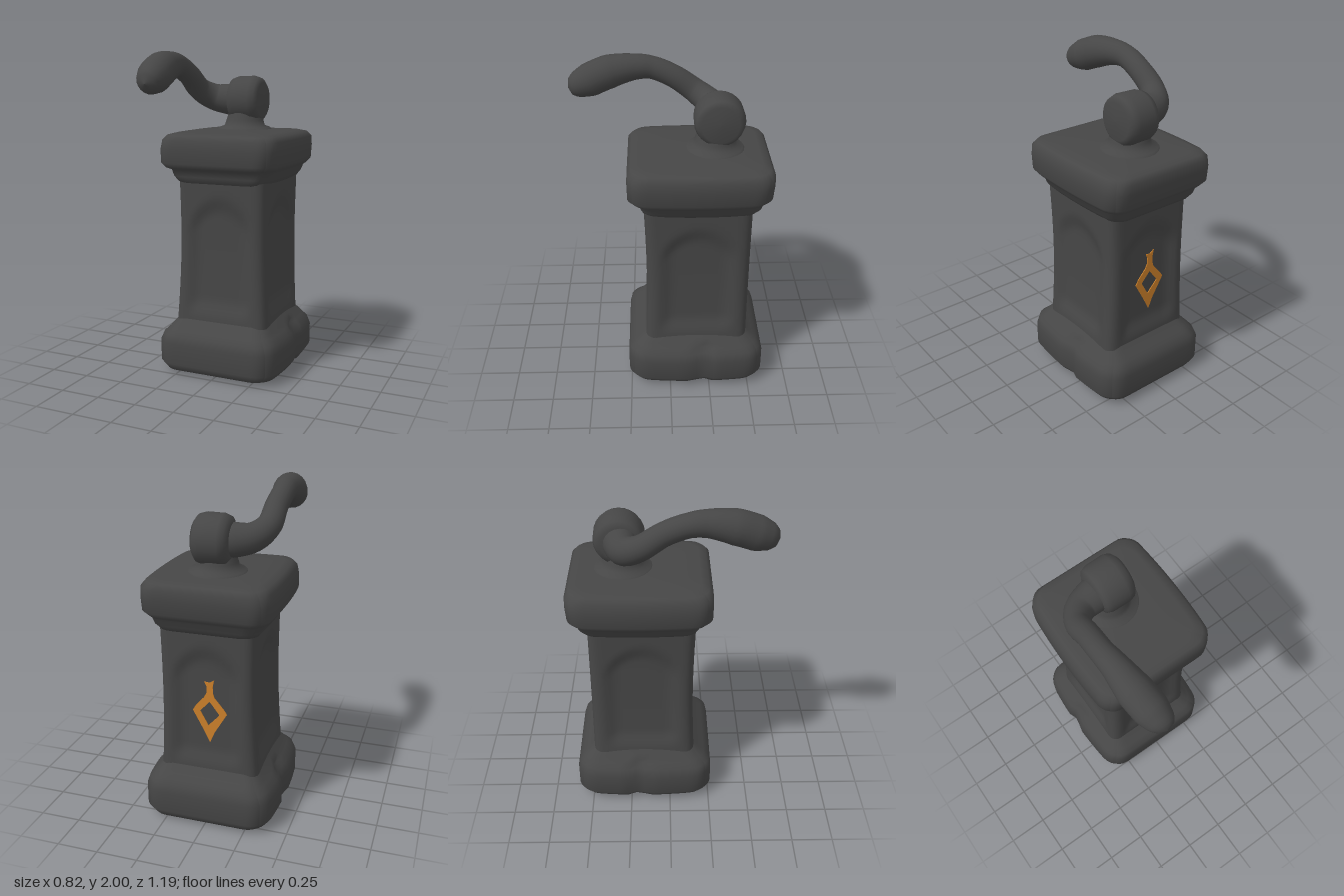
import * as THREE from 'three';
import { mergeVertices } from 'three/addons/utils/BufferGeometryUtils.js';

const smooth = THREE.MathUtils.smoothstep;

// Rounded-rectangle loft. Rows: [y, xMin, xMax, zMin, zMax, cornerRadius].
// taper narrows x towards both z ends; bump(side, s, point) pushes along the side's normal.
function loft(rows, taper, bump = () => 0) {
  const n = 24, ring = n * 4, pos = [], index = [];
  for (const [y, x0, x1, z0, z1, rad] of rows) {
    const a = (x1 - x0) / 2, b = (z1 - z0) / 2, r = Math.min(rad, a, b);
    for (let side = 0; side < 4; side++) {
      for (let k = 0; k < n; k++) {
        const s = Math.sin((-1 + 2 * k / n) * Math.PI / 2);
        const [u, v] = [[s, 1], [1, -s], [-s, -1], [-1, s]][side];
        const q = new THREE.Vector2(u * a, v * b);
        const c = new THREE.Vector2(
          THREE.MathUtils.clamp(q.x, r - a, a - r), THREE.MathUtils.clamp(q.y, r - b, b - r));
        const p = q.sub(c).setLength(r).add(c);
        p.x = p.x * (1 - taper * v * v) + (x0 + x1) / 2;
        p.y += (z0 + z1) / 2;
        const d = bump(side, s, new THREE.Vector3(p.x, y, p.y));
        pos.push(p.x + d * [0, 1, 0, -1][side], y, p.y + d * [1, 0, -1, 0][side]);
      }
    }
  }
  for (let i = 0; i < rows.length - 1; i++) {
    for (let j = 0; j < ring; j++) {
      const k = (j + 1) % ring, lo = i * ring, hi = lo + ring;
      index.push(lo + j, lo + k, hi + k, lo + j, hi + k, hi + j);
    }
  }
  const g = new THREE.BufferGeometry();
  g.setAttribute('position', new THREE.Float32BufferAttribute(pos, 3));
  g.setIndex(index);
  g.computeVertexNormals();
  return g;
}

// Tube whose radius follows the control points: [x, y, z, radius].
function taperedTube(points, segments, sides) {
  const path = new THREE.CatmullRomCurve3(points.map(p => new THREE.Vector3(p[0], p[1], p[2])));
  const g = new THREE.TubeGeometry(path, segments, 1, sides);
  const at = g.attributes.position, v = new THREE.Vector3();
  for (let i = 0; i <= segments; i++) {
    const c = path.getPointAt(i / segments);
    const t = path.getUtoTmapping(i / segments) * (points.length - 1);
    const k = Math.min(Math.floor(t), points.length - 2);
    const r = THREE.MathUtils.lerp(points[k][3], points[k + 1][3], t - k);
    for (let j = 0; j <= sides; j++) {
      const m = i * (sides + 1) + j;
      v.fromBufferAttribute(at, m).sub(c).multiplyScalar(r).add(c);
      at.setXYZ(m, v.x, v.y, v.z);
    }
  }
  g.deleteAttribute('uv');
  g.deleteAttribute('normal');
  const merged = mergeVertices(g);
  merged.computeVertexNormals();
  return merged;
}

export function createModel() {
  const model = new THREE.Group();
  const stone = new THREE.MeshStandardMaterial({ color: 0x464646 });
  stone.name = 'dark stone';
  const orange = new THREE.MeshStandardMaterial({ color: 0xcc802a });
  orange.name = 'orange paint';
  const add = (name, geometry, material = stone) => {
    const mesh = new THREE.Mesh(geometry, material);
    mesh.name = name;
    model.add(mesh);
    return mesh;
  };

  // Base block, split by a vertical crack on its left and right sides
  add('base', loft([
    [0, 0, 0, -0.165, -0.165, 0],
    [0.005, -0.32, 0.32, -0.52, 0.19, 0.1],
    [0.025, -0.38, 0.38, -0.57, 0.24, 0.11],
    [0.07, -0.413, 0.413, -0.595, 0.265, 0.12],
    [0.2, -0.413, 0.413, -0.595, 0.265, 0.12],
    [0.25, -0.39, 0.395, -0.58, 0.255, 0.11],
    [0.28, -0.36, 0.365, -0.555, 0.22, 0.1],
    [0.305, -0.34, 0.345, -0.53, 0.195, 0.08],
    [0.335, -0.315, 0.32, -0.495, 0.16, 0.07],
    [0.37, -0.29, 0.29, -0.47, 0.13, 0.05],
  ], 0.08, (side, s, p) => side % 2 && p.y > 0.004 && p.y < 0.3
    ? -0.03 * Math.exp(-(((p.z + 0.2) / 0.04) ** 2)) : 0));

  // Shaft with a shallow arched panel on each side
  const shaftRows = [];
  for (let i = 0; i <= 32; i++) {
    const t = i / 32, waist = 0.012 * Math.sin(t * Math.PI);
    shaftRows.push([0.3 + t * 0.94, -0.305 + t * 0.025 + waist, 0.31 - t * 0.01 - waist,
      -0.485, 0.155 - waist, 0.065]);
  }
  add('shaft', loft(shaftRows, 0, (side, s, p) => -0.025
    * (1 - smooth(Math.abs(s), 0.5, 0.76))
    * smooth(p.y, 0.36, 0.48)
    * (1 - smooth(p.y + 0.3 * s * s, 1.02, 1.15))));

  // Capital: stepped moulding and thick slab with a gently domed top
  add('capital', loft([
    [1.2, -0.27, 0.28, -0.47, 0.14, 0.07],
    [1.22, -0.305, 0.305, -0.515, 0.165, 0.08],
    [1.25, -0.33, 0.33, -0.535, 0.175, 0.08],
    [1.29, -0.345, 0.345, -0.55, 0.185, 0.09],
    [1.305, -0.37, 0.365, -0.565, 0.225, 0.1],
    [1.335, -0.392, 0.388, -0.59, 0.248, 0.1],
    [1.42, -0.392, 0.392, -0.597, 0.25, 0.1],
    [1.475, -0.38, 0.388, -0.597, 0.248, 0.1],
    [1.505, -0.355, 0.365, -0.575, 0.225, 0.1],
    [1.517, -0.31, 0.32, -0.53, 0.18, 0.1],
    [1.525, -0.2, 0.2, -0.4, 0.04, 0.1],
    [1.53, 0, 0, -0.265, -0.265, 0],
  ], 0.06));

  // Flared neck carrying the crank
  const neck = add('neck', new THREE.LatheGeometry([
    [0.18, 1.515], [0.165, 1.535], [0.13, 1.548], [0.12, 1.58], [0.1, 1.64], [0.09, 1.7],
  ].map(p => new THREE.Vector2(...p)), 24));
  neck.position.z = -0.27;

  // Drum-shaped hub lying along x
  const hub = add('hub', new THREE.LatheGeometry([
    [0, -0.115], [0.1, -0.108], [0.135, -0.09], [0.148, -0.055],
    [0.15, 0.05], [0.138, 0.088], [0.11, 0.108], [0, 0.112],
  ].map(p => new THREE.Vector2(...p)), 24));
  hub.rotation.z = -Math.PI / 2;
  hub.position.set(0.012, 1.71, -0.29);

  // Curved crank arm swelling into a grip
  add('crankArm', taperedTube([
    [0, 1.71, -0.28, 0.1], [-0.1, 1.71, -0.275, 0.1], [-0.2, 1.725, -0.245, 0.085],
    [-0.265, 1.775, -0.16, 0.073], [-0.275, 1.863, -0.03, 0.068], [-0.28, 1.915, 0.1, 0.068],
    [-0.272, 1.922, 0.2, 0.077], [-0.262, 1.897, 0.35, 0.1], [-0.245, 1.853, 0.47, 0.1],
    [-0.235, 1.825, 0.55, 0.075], [-0.235, 1.815, 0.585, 0.045], [-0.235, 1.812, 0.597, 0.0005],
  ], 64, 20));

  // Painted diamond mark with a stem on the back
  const mark = new THREE.Shape([
    [0, -0.23], [0.03, -0.16], [0.105, -0.035], [0.085, -0.005], [0.03, 0.06], [0.02, 0.09],
    [0.02, 0.135], [0.028, 0.175], [0, 0.155], [-0.032, 0.16], [-0.018, 0.13], [-0.02, 0.09],
    [-0.035, 0.06], [-0.085, 0.005], [-0.105, -0.03], [-0.04, -0.15],
  ].map(p => new THREE.Vector2(...p)));
  mark.holes.push(new THREE.Path([
    [0, 0.035], [-0.06, -0.03], [-0.01, -0.12], [0.06, -0.045],
  ].map(p => new THREE.Vector2(...p))));
  const rune = add('backMark',
    new THREE.ExtrudeGeometry(mark, { depth: 0.008, bevelEnabled: false }), orange);
  rune.rotation.y = Math.PI;
  rune.position.set(-0.01, 0.75, -0.457);

  return model;
}
